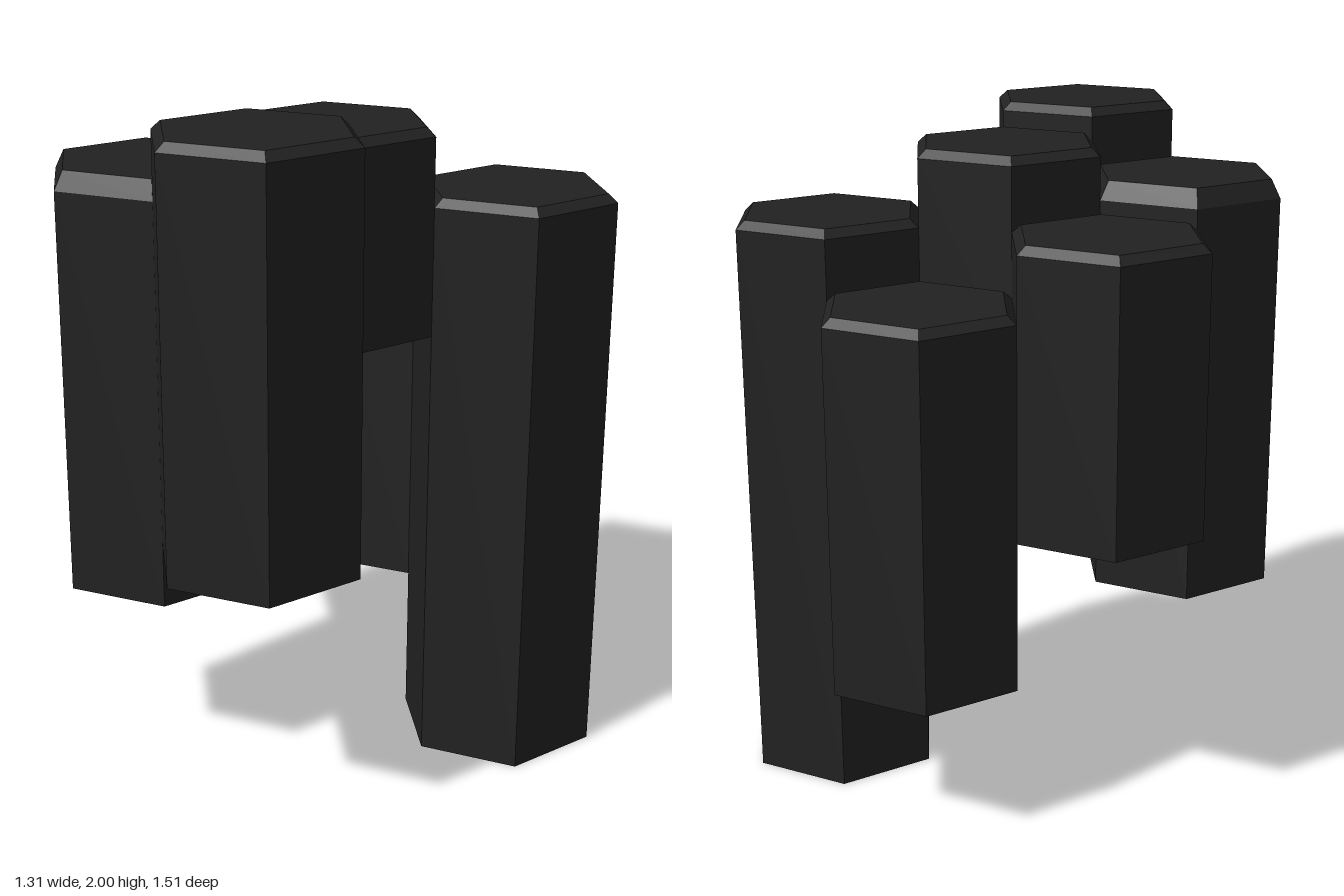
import * as THREE from 'three';

const R = 0.302;                       // hexagon corner radius
const PITCH_X = R * Math.sqrt(3);      // spacing of neighbours in a row
const PITCH_Z = R * 1.5;               // spacing of rows
const INSET = 0.029;                   // bevel inset at the corners

// Six-sided column with a bevelled top and a flat base
function hexColumn(bottom, top, bevel) {
  const profile = [
    [0, bottom], [R, bottom], [R, top - bevel], [R - INSET, top], [0, top],
  ].map(([r, y]) => new THREE.Vector2(r, y));
  const geometry = new THREE.LatheGeometry(profile, 6).toNonIndexed();
  geometry.computeVertexNormals();
  return geometry;
}

export function createModel() {
  const group = new THREE.Group();
  group.name = 'hexColumnCluster';

  const stone = new THREE.MeshStandardMaterial({ color: 0x222222, flatShading: true });
  stone.name = 'dark stone';

  // name, x in column pitches, row, bottom, top, bevel height
  const columns = [
    ['backRightColumn', 0.75, -1, 0, 1.73, 0.025],
    ['backLeftColumn', -0.25, -1, 0.45, 1.555, 0.025],
    ['middleRightColumn', 0.25, 0, 1.33, 1.93, 0.025],
    ['middleLeftColumn', -0.75, 0, 0.9, 1.745, 0.025],
    ['frontRightColumn', 0.75, 1, 0.795, 2, 0.025],
    ['frontLeftColumn', -0.25, 1, 0.595, 1.835, 0.055],
  ];
  // The right view shows the lowest front base on the left column
  for (const [name, x, row, bottom, top, bevel] of columns) {
    const column = new THREE.Mesh(hexColumn(bottom, top, bevel), stone);
    column.name = name;
    column.position.set(x * PITCH_X, 0, row * PITCH_Z);
    group.add(column);
  }
  return group;
}
